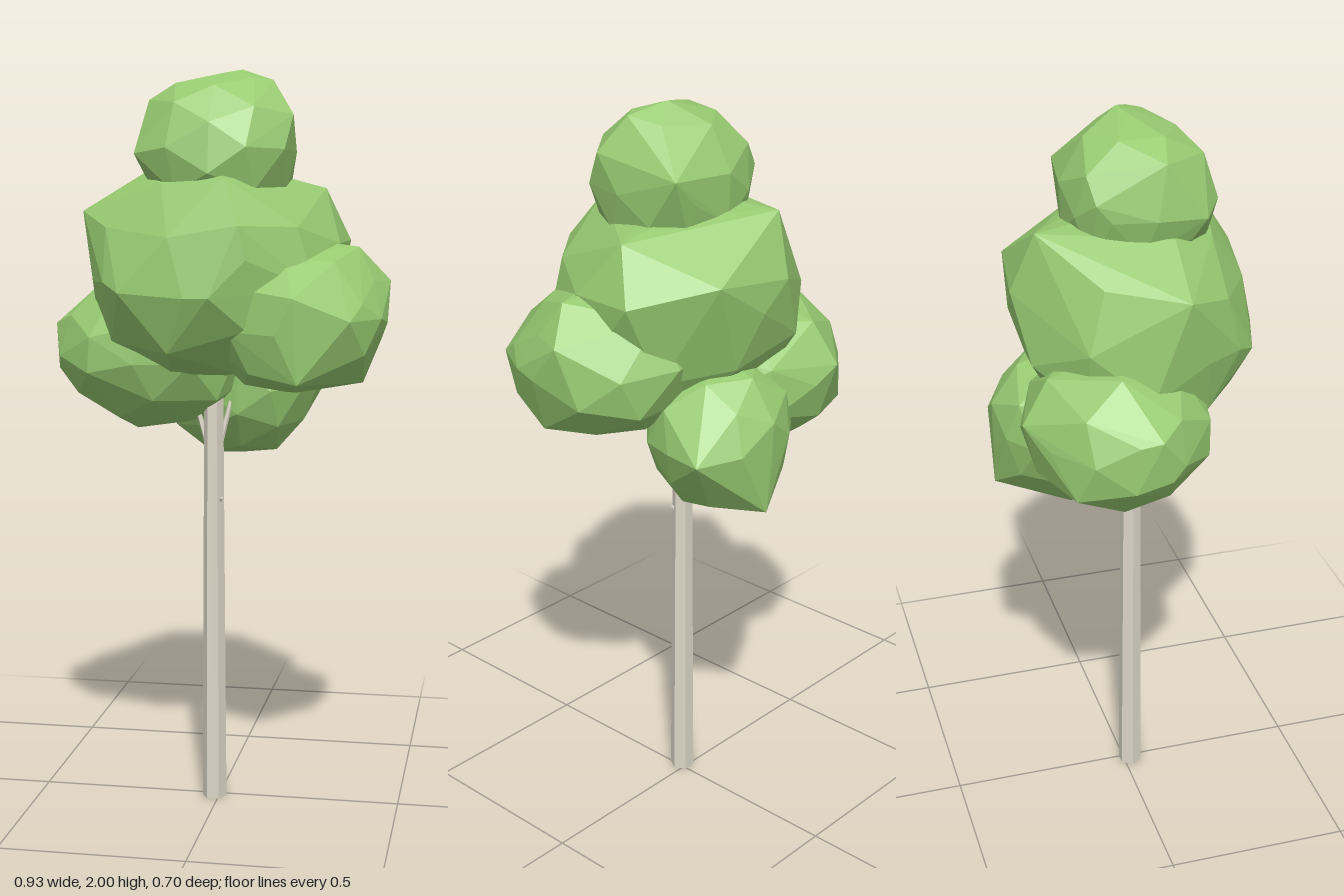
import * as THREE from 'three';
import { ConvexGeometry } from 'three/addons/geometries/ConvexGeometry.js';

const leaf = new THREE.MeshStandardMaterial({ color: 0x97ca71 });
leaf.name = 'leafGreen';
const bark = new THREE.MeshStandardMaterial({ color: 0xdcd6c6 });
bark.name = 'paleBark';

function seeded(seed) {
  let s = seed;
  return () => (s = (s * 16807) % 2147483647) / 2147483647;
}

// Faceted leaf clump: the hull of a jittered icosphere fitted to a box, plus a few protruding corners
function clump(name, min, max, corners, seed) {
  const rand = seeded(seed * 7919);
  const ball = new THREE.IcosahedronGeometry(1, 1).rotateY(rand() * 3).rotateX(rand() * 0.6);
  const pos = ball.attributes.position;
  const unique = new Map();
  for (let i = 0; i < pos.count; i++) {
    const p = new THREE.Vector3().fromBufferAttribute(pos, i);
    unique.set(p.toArray().map((n) => Math.round(n * 100)).join(), p);
  }
  const points = [...unique.values()].map((p) => p.multiplyScalar(0.95 + rand() * 0.1));
  const from = new THREE.Box3().setFromPoints(points);
  const to = new THREE.Box3(new THREE.Vector3(...min), new THREE.Vector3(...max));
  const scale = to.getSize(new THREE.Vector3()).divide(from.getSize(new THREE.Vector3()));
  points.forEach((p) => p.sub(from.min).multiply(scale).add(to.min));
  const tips = corners.map((c) => new THREE.Vector3(...c));
  // A tip replaces the ball points beside it, so facets stay large
  const kept = points.filter((p) => tips.every((t) => t.distanceTo(p) > 0.05));
  const mesh = new THREE.Mesh(new ConvexGeometry([...kept, ...tips]), leaf);
  mesh.name = name;
  return mesh;
}

// Tapered faceted limb between two points
function limb(name, a, b, r0, r1) {
  const start = new THREE.Vector3(...a);
  const dir = new THREE.Vector3(...b).sub(start);
  const geo = new THREE.CylinderGeometry(r1, r0, dir.length(), 6).toNonIndexed();
  geo.rotateY(Math.PI / 6);
  geo.computeVertexNormals();
  const mesh = new THREE.Mesh(geo, bark);
  mesh.name = name;
  mesh.position.copy(start).addScaledVector(dir, 0.5);
  mesh.quaternion.setFromUnitVectors(new THREE.Vector3(0, 1, 0), dir.normalize());
  return mesh;
}

export function createModel() {
  const tree = new THREE.Group();
  tree.name = 'tree';

  // Trunk, the twigs that vanish into the leaves, and a small stub
  tree.add(
    limb('trunk', [-0.013, 0, 0.018], [-0.015, 1.2, 0.018], 0.034, 0.026),
    limb('rightTwig', [-0.025, 0.97, 0.015], [-0.075, 1.14, 0.0], 0.008, 0.006),
    limb('leftTwig', [-0.005, 0.97, 0.015], [0.035, 1.14, 0.0], 0.008, 0.006),
    limb('backTwig', [-0.014, 0.98, 0.01], [0.0, 1.16, -0.08], 0.008, 0.006),
    limb('stub', [0.003, 0.845, 0.03], [0.01, 0.855, 0.036], 0.005, 0.004)
  );

  // Crown
  tree.add(
    clump('topClump', [-0.2, 1.58, -0.165], [0.21, 1.99, 0.24],
      [[-0.18, 1.92, 0.06], [0.06, 2, 0], [-0.2, 1.78, 0.16], [0.18, 1.84, -0.14],
        [0.21, 1.88, 0.1], [0.15, 1.97, 0.05], [-0.15, 1.82, -0.11]], 3),
    clump('mainClump', [-0.35, 1.18, -0.3], [0.33, 1.76, 0.34],
      [[-0.36, 1.63, 0.07], [-0.27, 1.45, 0.23], [0.03, 1.42, 0.35], [0.34, 1.55, -0.12],
        [-0.08, 1.74, -0.25], [-0.05, 1.58, -0.31], [0.17, 1.6, -0.28], [-0.19, 1.73, 0.08],
        [0.05, 1.72, 0.24], [0.1, 1.6, 0.32], [0.28, 1.69, -0.05], [-0.02, 1.28, 0.26]], 5),
    clump('leftClump', [-0.03, 1.15, -0.17], [0.46, 1.56, 0.32],
      [[0.46, 1.45, 0.01], [0.45, 1.36, 0.16], [0.4, 1.19, 0.12], [0.24, 1.42, 0.33],
        [0.25, 1.2, 0.31], [0.38, 1.54, 0.06], [0.38, 1.36, 0.28], [0.21, 1.56, 0.03],
        [0.24, 1.5, -0.13], [0.22, 1.38, -0.19]], 8),
    clump('rightClump', [-0.455, 1.04, -0.32], [0.08, 1.46, 0.16],
      [[-0.465, 1.32, -0.03], [-0.45, 1.2, 0], [-0.24, 1.3, -0.33], [-0.24, 1.03, -0.05],
        [-0.34, 1.2, 0.13], [-0.36, 1.22, -0.24], [-0.08, 1.06, 0], [-0.34, 1.44, -0.1],
        [-0.22, 1.41, -0.26]], 11),
    clump('backClump', [-0.15, 0.95, -0.35], [0.25, 1.37, 0.02],
      [[0.26, 1.15, -0.28], [0.06, 0.98, -0.345], [-0.05, 0.95, -0.16], [-0.15, 1.03, -0.14]], 14)
  );
  return tree;
}
